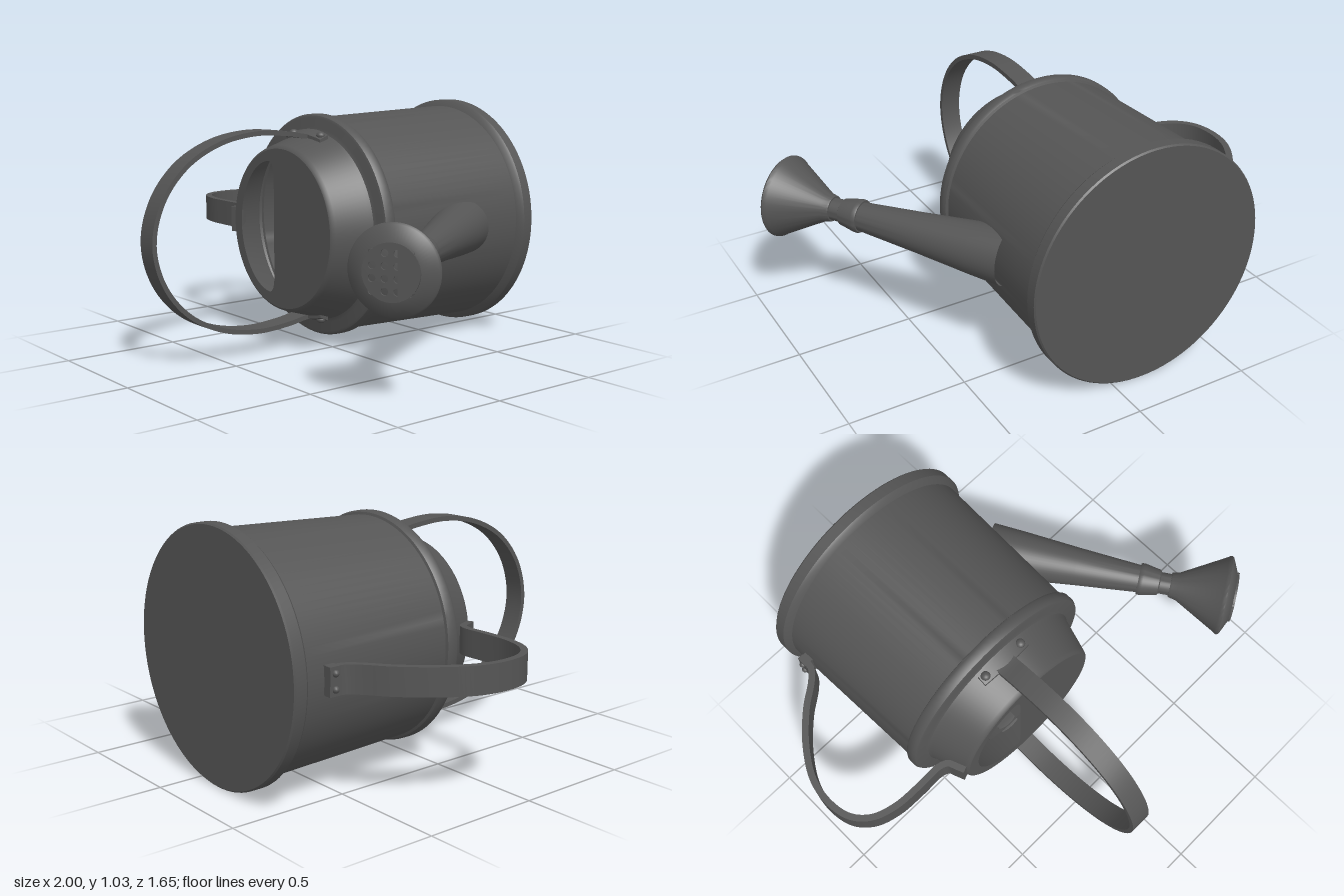
import * as THREE from 'three';
import { toCreasedNormals } from 'three/addons/utils/BufferGeometryUtils.js';

const V2 = (x, y) => new THREE.Vector2(x, y);

export function createModel() {
  const metal = new THREE.MeshStandardMaterial({ color: 0x555555, side: THREE.DoubleSide });
  metal.name = 'dark grey metal';
  const model = new THREE.Group();
  model.name = 'wateringCan';

  const add = (parent, name, geometry, x = 0, y = 0, z = 0) => {
    const mesh = new THREE.Mesh(geometry, metal);
    mesh.name = name;
    mesh.position.set(x, y, z);
    parent.add(mesh);
    return mesh;
  };
  // Turned part along z, from [radius, z] pairs
  const turned = (profile, segments) => toCreasedNormals(
    new THREE.LatheGeometry(profile.map(([r, z]) => V2(r, z)), segments).rotateX(Math.PI / 2), 0.6);
  // Flat strap following a 2D path, extruded symmetrically to the given width
  const strap = (path, thickness, width) => {
    const curve = new THREE.CatmullRomCurve3(path.map(([x, y]) => new THREE.Vector3(x, y, 0)), false, 'centripetal');
    const outer = [], inner = [];
    for (let i = 0; i <= 80; i++) {
      const p = curve.getPointAt(i / 80), t = curve.getTangentAt(i / 80);
      const nx = -t.y * thickness / 2, ny = t.x * thickness / 2;
      outer.push(V2(p.x + nx, p.y + ny));
      inner.unshift(V2(p.x - nx, p.y - ny));
    }
    const g = new THREE.ExtrudeGeometry(new THREE.Shape([...outer, ...inner]), { depth: width, bevelEnabled: false });
    return toCreasedNormals(g.translate(0, 0, -width / 2), 0.6);
  };

  // Can body, lying with its axis along z
  const can = new THREE.Group();
  can.name = 'can';
  can.position.set(-0.137, 0.52, 0);
  model.add(can);
  add(can, 'body', turned([
    [0, -0.83], [0.51, -0.83], [0.516, -0.824], [0.516, -0.778], [0.508, -0.768], [0.488, -0.755],
    [0.466, -0.066], [0.476, -0.062], [0.482, -0.052], [0.482, -0.022], [0.476, -0.012], [0.466, -0.008],
    [0.425, -0.008], [0.41, -0.002], [0.402, 0.012], [0.358, 0.155], [0.352, 0.168], [0.342, 0.174],
  ], 96));

  // Lid with the filling opening on one side
  const lid = new THREE.Shape().absarc(0, 0, 0.343, 0, Math.PI * 2);
  const opening = new THREE.Path();
  opening.moveTo(-0.047, -0.2);
  opening.lineTo(-0.047, 0.2);
  opening.bezierCurveTo(-0.047, 0.26, -0.06, 0.285, -0.085, 0.285);
  opening.bezierCurveTo(-0.2, 0.275, -0.293, 0.14, -0.293, 0);
  opening.bezierCurveTo(-0.293, -0.14, -0.2, -0.275, -0.085, -0.285);
  opening.bezierCurveTo(-0.06, -0.285, -0.047, -0.26, -0.047, -0.2);
  lid.holes.push(opening);
  add(can, 'lid', new THREE.ShapeGeometry(lid, 48), 0, 0, 0.174);

  // Carrying hoop over the lid, path as [-z, y]
  const hoopHalf = [[-0.015, 0.395], [-0.06, 0.392], [-0.15, 0.407], [-0.32, 0.417], [-0.5, 0.385],
    [-0.66, 0.3], [-0.77, 0.165]];
  const hoopPath = [...hoopHalf, [-0.812, 0], ...hoopHalf.map(([z, y]) => [z, -y]).reverse()];
  add(can, 'carryingHoop', strap(hoopPath, 0.02, 0.092).rotateY(Math.PI / 2), -0.005);

  // Riveted plates holding the hoop, above and below
  for (const turn of [0, Math.PI]) {
    const mount = new THREE.Group();
    mount.name = 'hoopMount';
    mount.rotation.z = turn;
    can.add(mount);
    const plate = new THREE.BoxGeometry(0.24, 0.02, 0.058, 12, 1, 1);
    const pos = plate.attributes.position;
    for (let i = 0; i < pos.count; i++) {
      const x = pos.getX(i);
      pos.setY(i, pos.getY(i) - 1.25 * x * x - 0.3 * pos.getZ(i));
      pos.setZ(i, pos.getZ(i) * (1 - 20 * x * x));
    }
    add(mount, 'mountPlate', toCreasedNormals(plate, 0.6), 0, 0.4, 0.032);
    for (const side of [-1, 1]) {
      const rivet = add(mount, 'rivet', new THREE.SphereGeometry(0.02, 16, 10), side * 0.096, 0.398, 0.03);
      rivet.scale.y = 0.8;
    }
  }

  // Side handle, path as [x, -z]
  const handlePath = [[-0.645, 0.68], [-0.648, 0.61], [-0.685, 0.565], [-0.78, 0.49], [-0.89, 0.37], [-0.965, 0.24],
    [-0.984, 0.12], [-0.962, 0.02], [-0.9, -0.045], [-0.8, -0.078], [-0.68, -0.084], [-0.56, -0.084],
    [-0.528, -0.1], [-0.515, -0.13], [-0.5, -0.168]];
  add(model, 'sideHandle', strap(handlePath, 0.028, 0.112).rotateX(-Math.PI / 2), 0, 0.52, 0);
  add(model, 'handleTab', new THREE.BoxGeometry(0.045, 0.112, 0.045), -0.637, 0.52, -0.655);
  for (const side of [-1, 1]) {
    add(model, 'handleRivet', new THREE.SphereGeometry(0.014, 12, 8), -0.659, 0.52 + side * 0.03, -0.655);
  }

  // Spout and rose, built along local z
  const spout = new THREE.Group();
  spout.name = 'spoutAssembly';
  spout.position.set(0.85, 0.52, 0.39);
  spout.rotation.y = Math.atan2(0.54, 0.84);
  model.add(spout);
  add(spout, 'spout', turned([[0.118, -1.04], [0.107, -0.9], [0.083, -0.65], [0.059, -0.36]], 48));
  add(spout, 'spoutCollar', turned([[0.055, -0.375], [0.067, -0.375], [0.07, -0.368], [0.07, -0.355],
    [0.056, -0.285], [0.048, -0.28]], 48));
  add(spout, 'neck', turned([[0.047, -0.3], [0.047, -0.2]], 32));
  add(spout, 'rose', turned([[0.045, -0.235], [0.053, -0.235], [0.056, -0.228], [0.062, -0.2], [0.166, -0.012],
    [0.173, -0.003], [0.174, 0.004], [0.168, 0.012], [0.112, 0.038], [0, 0.038]], 64));

  // Perforated face of the rose
  const face = new THREE.Shape().absarc(0, 0, 0.108, 0, Math.PI * 2);
  for (let i = 0; i < 4; i++) {
    for (let j = 0; j < 4; j++) {
      face.holes.push(new THREE.Path().absarc((i - 1.5) * 0.047, (j - 1.5) * 0.046, 0.014, 0, Math.PI * 2, true));
    }
  }
  add(spout, 'roseFace', new THREE.ExtrudeGeometry(face, { depth: 0.009, bevelEnabled: false, curveSegments: 20 }), 0, 0, 0.038);

  return model;
}
